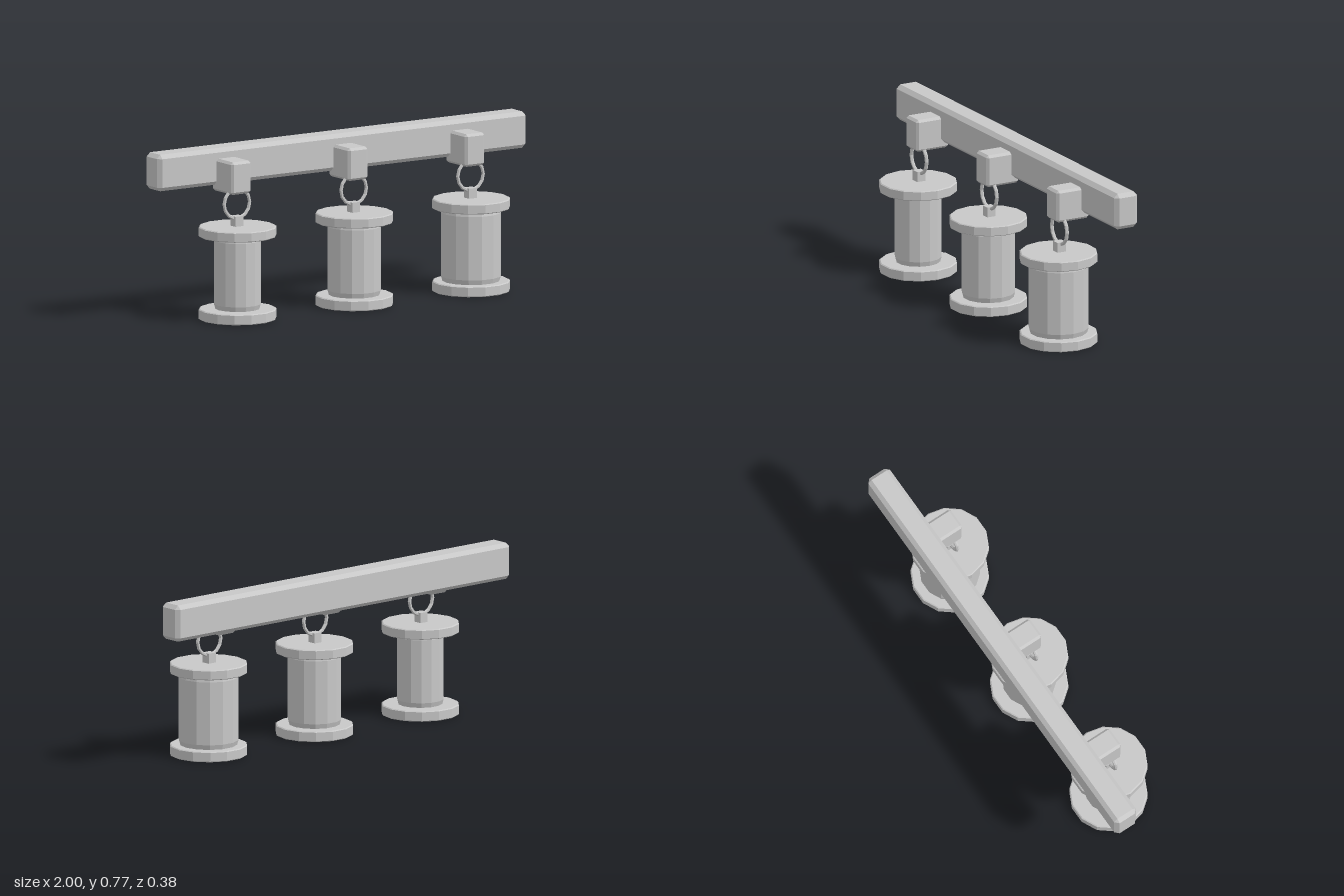
import * as THREE from 'three';
import { ConvexGeometry } from 'three/addons/geometries/ConvexGeometry.js';

const grey = new THREE.MeshStandardMaterial({ color: 0xc8c8c8, flatShading: true });
grey.name = 'plain grey';

const SIDES = 14;

function part(name, geometry, x, y, z) {
  const mesh = new THREE.Mesh(geometry, grey);
  mesh.name = name;
  mesh.position.set(x, y, z);
  return mesh;
}

// Box with all edges and corners cut: three points at each corner
function chamferedBox(w, h, d, c) {
  const points = [];
  for (const sx of [-1, 1]) for (const sy of [-1, 1]) for (const sz of [-1, 1]) {
    for (let axis = 0; axis < 3; axis++) {
      const half = [w / 2, h / 2, d / 2].map((v, i) => (i === axis ? v : v - c));
      points.push(new THREE.Vector3(sx * half[0], sy * half[1], sz * half[2]));
    }
  }
  return new ConvexGeometry(points);
}

// Faceted drum standing on y = 0 with cut rims
function chamferedDrum(radius, height, inset, rise) {
  const profile = [
    [0, 0], [radius - inset, 0], [radius, rise],
    [radius, height - rise], [radius - inset, height], [0, height],
  ].map(([r, y]) => new THREE.Vector2(r, y));
  return new THREE.LatheGeometry(profile, SIDES, Math.PI / 2);
}

// One spool hanging from its bracket
function hangingSpool(x, coreRadius) {
  const group = new THREE.Group();
  group.name = 'hangingSpool';
  group.position.x = x;
  const z = 0.0175;
  group.add(
    part('bottomFlange', chamferedDrum(0.177, 0.048, 0.005, 0.004), 0, 0, z),
    part('spoolCore', chamferedDrum(coreRadius, 0.34, 0.007, 0.025), 0, 0.045, z),
    part('topFlange', chamferedDrum(0.177, 0.046, 0.005, 0.004), 0, 0.378, z),
    part('eyelet', new THREE.BoxGeometry(0.042, 0.05, 0.042), 0, 0.445, 0.0125),
    part('ring', new THREE.TorusGeometry(0.069, 0.0085, 6, 14), 0, 0.527, 0.0125),
    part('bracket', chamferedBox(0.107, 0.149, 0.167, 0.011), 0, 0.648, -0.03),
  );
  return group;
}

export function createModel() {
  const model = new THREE.Group();
  model.name = 'spoolRack';

  // Wall beam
  model.add(part('beam', chamferedBox(2, 0.167, 0.118, 0.018), 0, 0.685, -0.13));

  // Three spools, the core growing from the model's right to its left
  [0.107, 0.122, 0.137].forEach((radius, i) => {
    model.add(hangingSpool((i - 1) * 0.634, radius));
  });
  return model;
}
